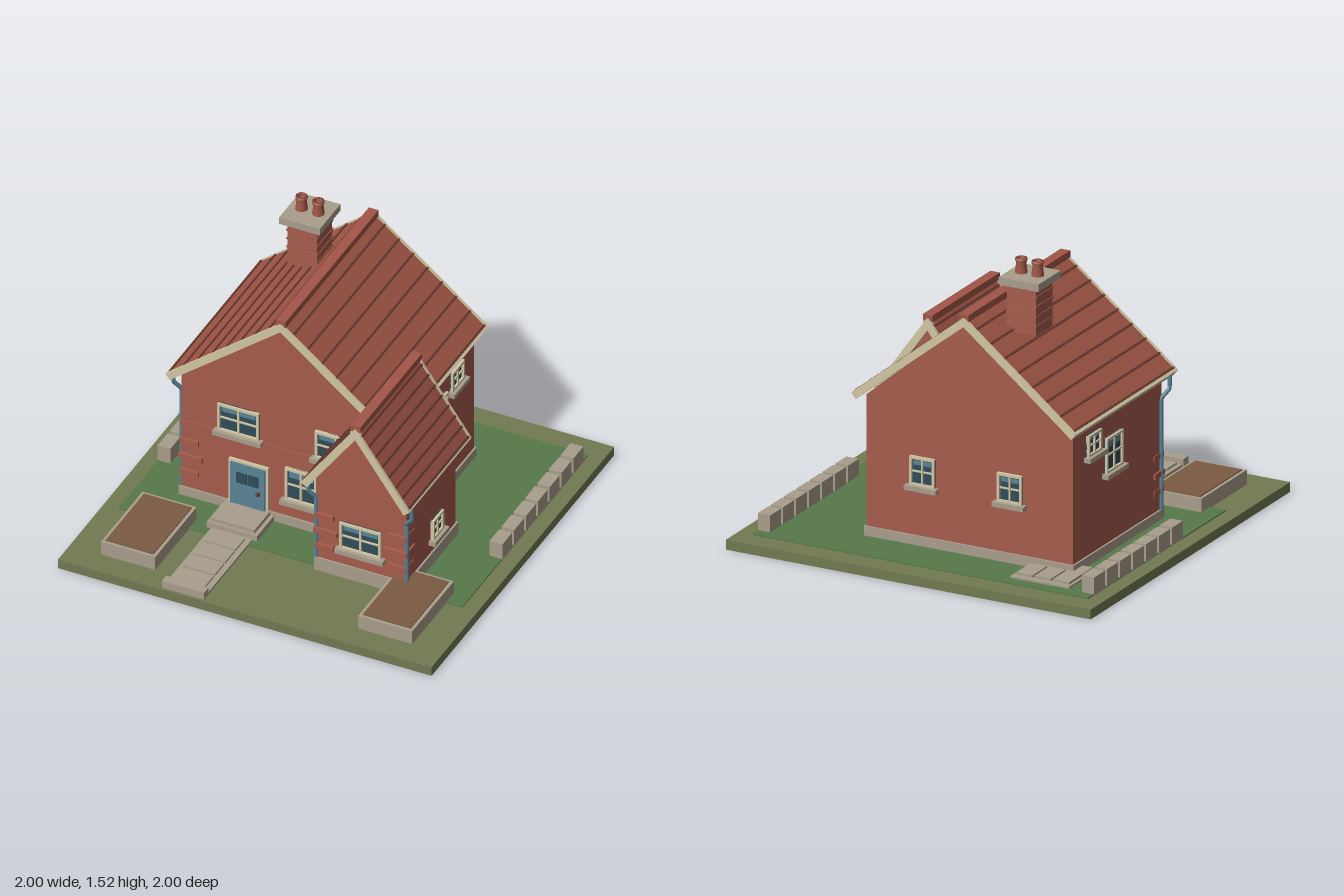
import * as THREE from 'three';

const mat = (name, color) => {
  const m = new THREE.MeshStandardMaterial({ color });
  m.name = name;
  return m;
};

export function createModel() {
  const olive = mat('olive ground', 0x727a52);
  const green = mat('lawn green', 0x57784a);
  const brick = mat('red brick', 0xa55c4c);
  const tile = mat('roof tile', 0xa25647);
  const dark = mat('tile shadow', 0x6a3a31);
  const cream = mat('cream trim', 0xd2c6a4);
  const stone = mat('stone', 0xa99e8c);
  const soil = mat('soil', 0x7c5b43);
  const blue = mat('blue paint', 0x5a8498);
  const glass = mat('dark glass', 0x2f4c5a);

  const model = new THREE.Group();
  model.name = 'cottage';

  const group = (name, parent = model) => {
    const g = new THREE.Group();
    g.name = name;
    parent.add(g);
    return g;
  };
  const mesh = (name, geo, m, parent = model) => {
    const o = new THREE.Mesh(geo, m);
    o.name = name;
    parent.add(o);
    return o;
  };
  // Box given by its extents
  const box = (name, m, x0, x1, y0, y1, z0, z1, parent = model) => {
    const o = mesh(name, new THREE.BoxGeometry(x1 - x0, y1 - y0, z1 - z0), m, parent);
    o.position.set((x0 + x1) / 2, (y0 + y1) / 2, (z0 + z1) / 2);
    return o;
  };

  // Ground
  box('ground', olive, -1, 1, 0, 0.05, -1, 1);
  box('lawn', green, -0.92, 0.92, 0.05, 0.056, -0.88, 0.5);

  // Gabled walls: a pentagon pushed along z
  const walls = (name, x0, x1, z0, z1, shoulder, apex) => {
    const s = new THREE.Shape();
    s.moveTo(x0, 0.05);
    s.lineTo(x1, 0.05);
    s.lineTo(x1, shoulder);
    s.lineTo((x0 + x1) / 2, apex);
    s.lineTo(x0, shoulder);
    const geo = new THREE.ExtrudeGeometry(s, { depth: z1 - z0, bevelEnabled: false });
    mesh(name, geo, brick).position.z = z0;
  };
  walls('mainWalls', -0.7, 0.43, -0.63, 0.26, 0.78, 1.265);
  walls('wingWalls', 0.15, 0.63, -0.02, 0.52, 0.6, 0.975);
  box('mainPlinth', stone, -0.71, 0.44, 0.05, 0.105, -0.64, 0.27);
  box('wingPlinth', stone, 0.14, 0.64, 0.05, 0.125, -0.03, 0.53);
  box('stringCourse', brick, -0.705, 0.15, 0.48, 0.5, 0.25, 0.268);

  // Roof: two slopes with tile courses, gable boards and eaves boards
  const roof = (name, cx, top, run, rise, z0, z1, courses) => {
    const g = group(name);
    const len = Math.hypot(run, rise), depth = z1 - z0, zc = (z0 + z1) / 2;
    for (const s of [-1, 1]) {
      const slope = group('roofSlope', g);
      slope.position.set(cx, top, zc);
      slope.rotation.z = -s * Math.atan2(rise, run);
      const part = (n, m, a, b, y0, y1, za, zb) =>
        box(n, m, Math.min(s * a, s * b), Math.max(s * a, s * b), y0, y1, za, zb, slope);
      const h = depth / 2;
      part('roofSlab', tile, 0, len, -0.022, 0, -h + 0.012, h - 0.012);
      for (let i = 1; i <= courses; i++) {
        const a = (len * (i - 0.12)) / courses;
        part('tileCourse', dark, a - 0.011, a, -0.002, 0.006, -h + 0.014, h - 0.014);
      }
      for (const e of [-1, 1]) {
        const za = e * h, zb = e * (h - 0.015);
        part('gableBoard', cream, 0, len, -0.034, 0.004, Math.min(za, zb), Math.max(za, zb));
      }
      part('eavesBoard', cream, len - 0.012, len + 0.004, -0.036, 0.002, -h, h);
    }
    box('ridgeCap', tile, cx - 0.026, cx + 0.026, top - 0.015, top + 0.02, z0 + 0.005, z1 - 0.005, g);
  };
  roof('mainRoof', -0.135, 1.288, 0.61, 0.488, -0.695, 0.335, 8);
  roof('wingRoof', 0.39, 0.997, 0.285, 0.4, -0.095, 0.59, 8);

  // Window facing local +z, origin at the centre of the opening on the wall
  const windowAt = (x, y, z, w, h, turn = 0) => {
    const g = group('window');
    g.position.set(x, y, z);
    g.rotation.y = turn;
    const a = w / 2, b = h / 2, t = 0.013;
    box('pane', glass, -a, a, -b, b, -0.005, 0.006, g);
    for (const s of [-1, 1]) {
      const c = s * (a - t) / 2;
      box('paneReflection', blue, c - a / 2 + t, c + a / 2 - t, b * 0.42, b - t - 0.008, 0.005, 0.009, g);
      box('frameSide', cream, s * (a - t / 2) - t / 2, s * (a - t / 2) + t / 2, -b, b, 0, 0.018, g);
      box('frameRail', cream, -a, a, s * (b - t / 2) - t / 2, s * (b - t / 2) + t / 2, 0, 0.018, g);
    }
    box('mullion', cream, -0.005, 0.005, -b, b, 0, 0.015, g);
    box('glazingBar', cream, -a, a, -0.004, 0.004, 0, 0.014, g);
    box('sill', stone, -a - 0.02, a + 0.02, -b - 0.022, -b + 0.002, -0.005, 0.036, g);
  };
  windowAt(-0.39, 0.588, 0.26, 0.22, 0.16);
  windowAt(0.13, 0.588, 0.26, 0.22, 0.16);
  windowAt(-0.055, 0.304, 0.26, 0.17, 0.19);
  windowAt(0.39, 0.302, 0.52, 0.22, 0.155);
  windowAt(0.63, 0.258, 0.197, 0.115, 0.11, Math.PI / 2);
  for (const s of [-1, 1]) {
    const x = s > 0 ? 0.43 : -0.7;
    windowAt(x, 0.56, -0.235, 0.165, 0.18, s * Math.PI / 2);
    windowAt(x, 0.668, -0.432, 0.13, 0.11, s * Math.PI / 2);
  }
  for (const x of [-0.36, 0.12]) windowAt(x, 0.437, -0.63, 0.135, 0.15, Math.PI);

  // Front door and steps
  const door = group('frontDoor');
  box('doorFrame', cream, -0.44, -0.23, 0.1, 0.36, 0.255, 0.276, door);
  box('doorLeaf', blue, -0.427, -0.243, 0.1, 0.348, 0.26, 0.285, door);
  for (const x of [-0.366, -0.304])
    box('doorPane', glass, x - 0.028, x + 0.028, 0.238, 0.3, 0.28, 0.289, door);
  box('doorHandle', dark, -0.284, -0.268, 0.196, 0.212, 0.28, 0.3, door);
  box('upperStep', stone, -0.455, -0.22, 0.05, 0.108, 0.26, 0.44);
  box('lowerStep', stone, -0.47, -0.2, 0.05, 0.088, 0.26, 0.455);

  // Garden path
  box('path', stone, -0.445, -0.225, 0.05, 0.063, 0.455, 0.95);
  for (let i = 0; i < 4; i++)
    box('pathSlab', stone, -0.422, -0.255, 0.06, 0.073, 0.475 + i * 0.114, 0.578 + i * 0.114);
  box('pathEnd', stone, -0.45, -0.225, 0.05, 0.09, 0.935, 0.985);

  // Back patio
  box('patio', stone, -0.78, -0.46, 0.05, 0.066, -0.815, -0.53);
  for (let i = 0; i < 3; i++)
    box('patioSlab', stone, -0.765 + i * 0.1, -0.675 + i * 0.1, 0.06, 0.078, -0.785, -0.55);

  // Raised beds and border stones on both sides
  for (const s of [-1, 1]) {
    const x = s * 0.688;
    box('bedWall', stone, x - 0.145, x + 0.145, 0.05, 0.125, 0.415, 0.87);
    box('bedSoil', soil, x - 0.128, x + 0.128, 0.12, 0.13, 0.432, 0.853);
    for (let i = 0; i < 7; i++) {
      const z = -0.768 + i * 0.13;
      box('borderStone', stone, s * 0.888 - 0.034, s * 0.888 + 0.034, 0.05, 0.143, z - 0.054, z + 0.054);
    }
  }

  // Corner bricks; side tells which way the corner faces
  const quoins = (x, z, side) => {
    [0.2, 0.29, 0.38].forEach((y, i) => {
      const long = i === 1 ? 0.115 : 0.095, out = i === 1 ? 0.01 : 0.004;
      const a = x + side * out, b = x - side * long;
      box('cornerBrick', brick, Math.min(a, b), Math.max(a, b), y - 0.014, y + 0.014, z - 0.08, z + 0.016);
    });
  };
  quoins(-0.7, 0.26, -1);
  quoins(0.15, 0.52, -1);
  quoins(0.63, 0.52, 1);

  // Chimney with brick bands, cap and two pots
  const chimney = group('chimney');
  box('chimneyStack', brick, -0.4, -0.24, 1.165, 1.41, -0.45, -0.285, chimney);
  for (let i = 0; i < 4; i++) {
    const y = 1.21 + i * 0.05;
    box('chimneyBand', brick, -0.404, -0.236, y, y + 0.008, -0.454, -0.281, chimney);
  }
  box('chimneyCap', stone, -0.43, -0.212, 1.408, 1.446, -0.483, -0.257, chimney);
  const potProfile = [[0.031, 0], [0.024, 0.058], [0.03, 0.062], [0.03, 0.076], [0.02, 0.076], [0.02, 0.03], [0, 0.03]]
    .map(([r, y]) => new THREE.Vector2(r, y));
  for (const x of [-0.365, -0.275]) {
    const pot = mesh('chimneyPot', new THREE.LatheGeometry(potProfile, 12), tile, chimney);
    pot.position.set(x, 1.445, -0.37);
    const soot = mesh('potOpening', new THREE.CircleGeometry(0.02, 12), dark, chimney);
    soot.rotation.x = -Math.PI / 2;
    soot.position.set(x, 1.48, -0.37);
  }

  // Downpipes: from the eaves, back to the wall, then down
  const downpipe = (eaveX, wallX, top, z, foot) => {
    const p = [[eaveX, top, z + 0.03], [eaveX, top - 0.07, z + 0.025], [wallX, top - 0.115, z], [wallX, foot, z]]
      .map((a) => new THREE.Vector3(...a));
    const path = new THREE.CurvePath();
    for (let i = 0; i < 3; i++) path.add(new THREE.LineCurve3(p[i], p[i + 1]));
    mesh('downpipe', new THREE.TubeGeometry(path, 40, 0.011, 8), blue);
  };
  downpipe(0.672, 0.632, 0.59, 0.518, 0.12);
  downpipe(0.118, 0.148, 0.59, 0.518, 0.12);
  downpipe(-0.735, -0.704, 0.79, 0.25, 0.1);

  return model;
}
